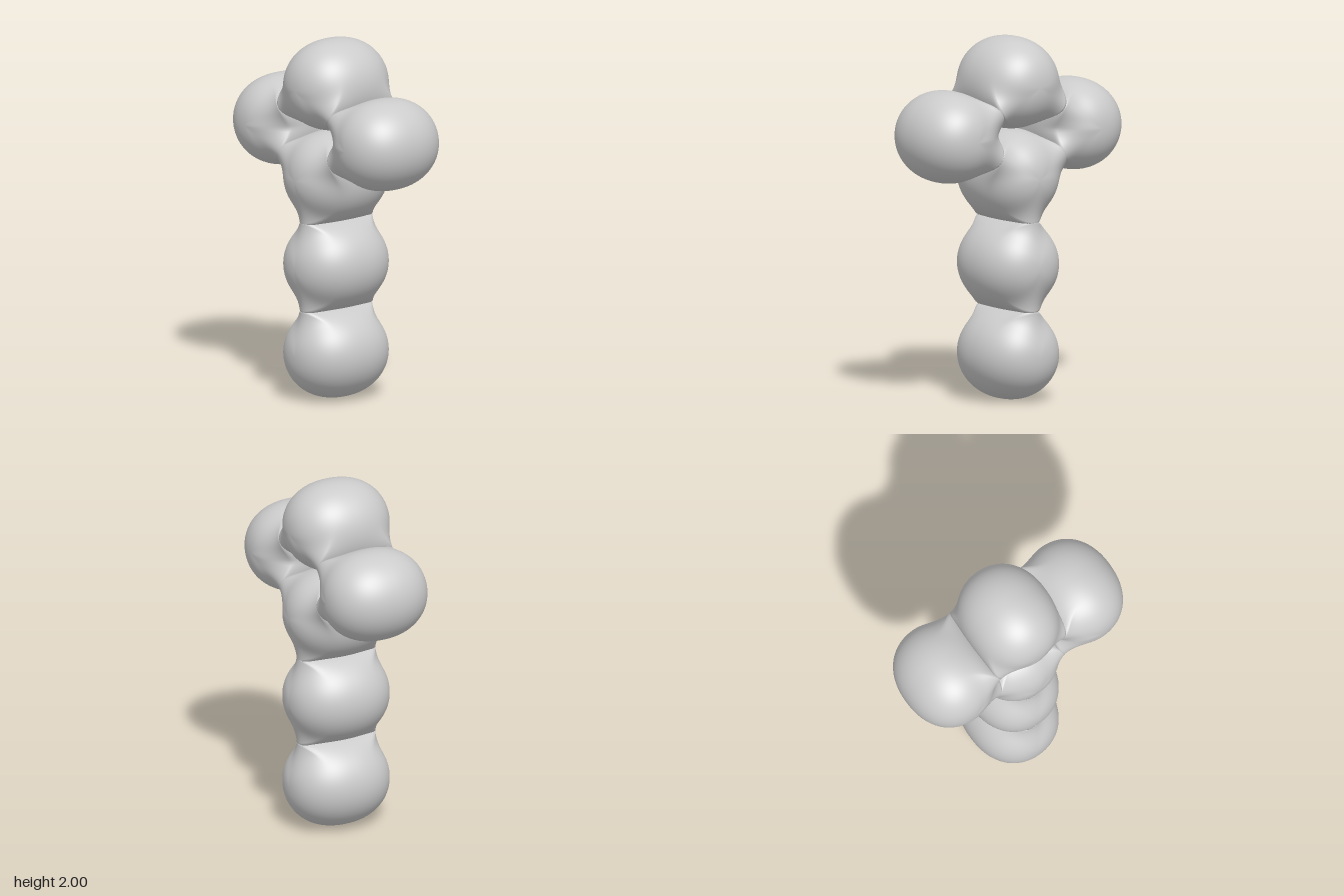
import * as THREE from 'three';
import { mergeVertices } from 'three/addons/utils/BufferGeometryUtils.js';

const R = 0.253;      // pod radius seen from the front
const H = 0.295;      // pod half depth
const EDGE = 0.235;   // half depth of the webs between pods

// Pod centres (x, y) and the pods each one is joined to
const pods = [
  { name: 'lowerStemPod', at: [0, 0.253], joins: [1] },
  { name: 'middleStemPod', at: [0, 0.75], joins: [0, 2] },
  { name: 'upperStemPod', at: [0, 1.24], joins: [1, 3, 4] },
  { name: 'leftPod', at: [0.425, 1.482], joins: [2, 5] },
  { name: 'rightPod', at: [-0.425, 1.482], joins: [2, 5] },
  { name: 'topPod', at: [0, 1.747], joins: [3, 4] },
];

// Rounded barrel along z whose ends stay deep towards each joined pod
function podGeometry(directions) {
  let geo = new THREE.SphereGeometry(1, 96, 64).rotateX(Math.PI / 2);
  geo.deleteAttribute('uv');
  geo.deleteAttribute('normal');
  geo = mergeVertices(geo, 1e-5);
  const p = geo.attributes.position;
  for (let i = 0; i < p.count; i++) {
    const z = p.getZ(i);
    const theta = Math.atan2(p.getY(i), p.getX(i));
    const a = Math.acos(Math.min(1, Math.abs(z)));
    const s = a / (Math.PI / 2);

    // free profile
    const rFree = R * Math.pow(Math.sin(a), 0.9);
    const zFree = H * Math.pow(Math.max(0, Math.cos(a)), 0.9);

    // profile towards a joint: shallow slope, then a straight wall
    const t = Math.min(1, s / 0.7);
    const rJoin = (R + 0.004) * t;
    const slope = (H + EDGE) / 2 + (H - EDGE) / 2 * Math.cos(Math.PI * t);
    const zJoin = slope * (s < 0.7 ? 1 : (1 - s) / 0.3);

    let w = 0;
    for (const d of directions) {
      const off = Math.atan2(Math.sin(theta - d), Math.cos(theta - d));
      w = Math.max(w, Math.exp(-((off / 0.42) ** 2)));
    }
    const r = THREE.MathUtils.lerp(rFree, rJoin, w);
    const depth = THREE.MathUtils.lerp(zFree, zJoin, w);
    p.setXYZ(i, r * Math.cos(theta), r * Math.sin(theta), Math.sign(z) * depth);
  }
  geo.computeVertexNormals();
  return geo;
}

export function createModel() {
  const group = new THREE.Group();
  group.name = 'podCross';
  const material = new THREE.MeshStandardMaterial({ color: 0xcccccc });
  for (const { name, at, joins } of pods) {
    const directions = joins.map((j) => Math.atan2(pods[j].at[1] - at[1], pods[j].at[0] - at[0]));
    const mesh = new THREE.Mesh(podGeometry(directions), material);
    mesh.name = name;
    mesh.position.set(at[0], at[1], 0);
    group.add(mesh);
  }
  return group;
}
